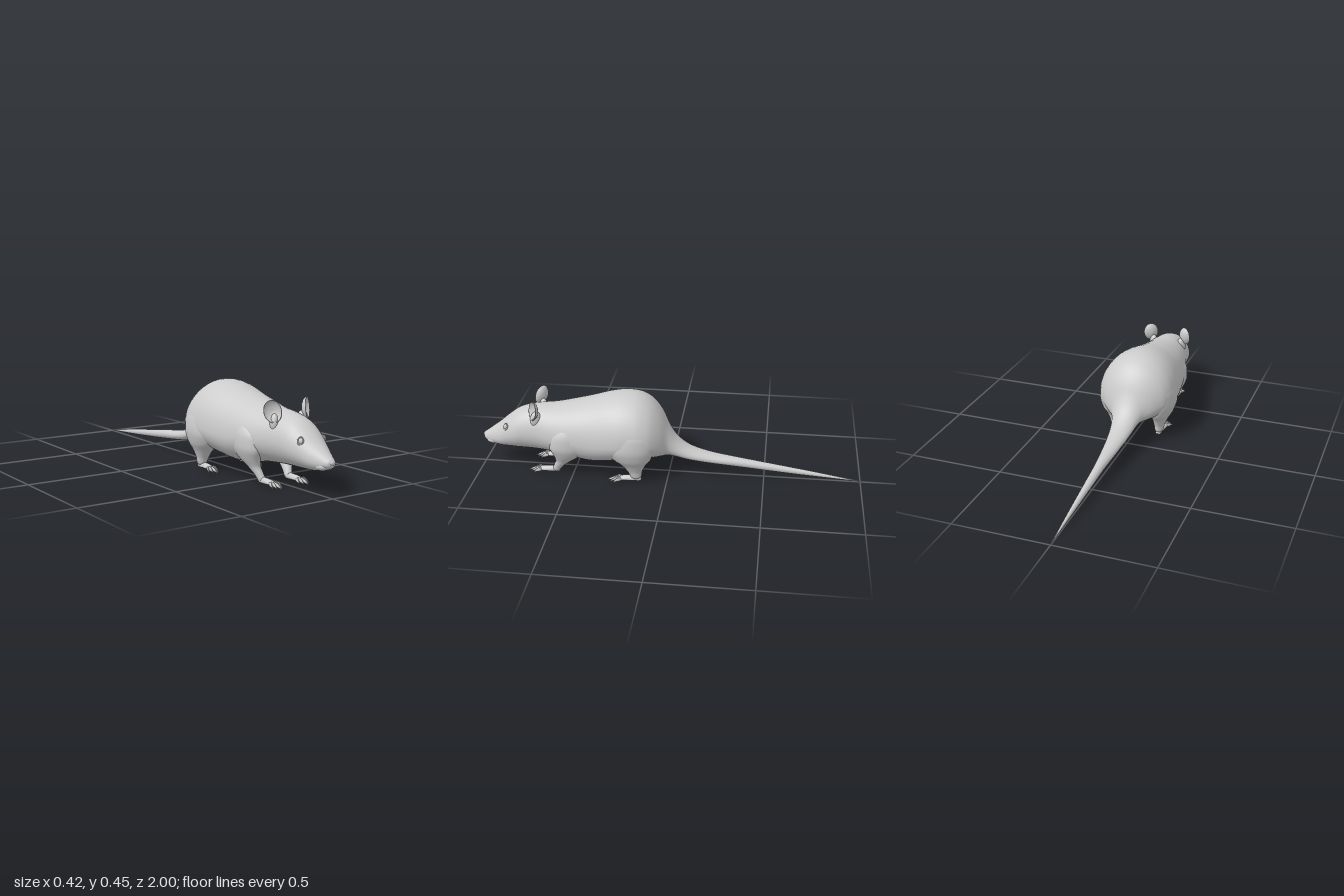
import * as THREE from 'three';

const material = new THREE.MeshStandardMaterial({ color: 0xcccccc, roughness: 0.8 });

// Closed skin through a list of rings; each ring maps an angle to a point.
function loft(rings, sides) {
  const pos = [], index = [];
  rings.forEach((ring, i) => {
    for (let j = 0; j < sides; j++) {
      pos.push(...ring((j / sides) * Math.PI * 2));
      if (i === rings.length - 1) continue;
      const a = i * sides + j, b = i * sides + ((j + 1) % sides);
      index.push(a, b, a + sides, b, b + sides, a + sides);
    }
  });
  const g = new THREE.BufferGeometry();
  g.setAttribute('position', new THREE.Float32BufferAttribute(pos, 3));
  g.setIndex(index);
  g.computeVertexNormals();
  return g;
}

// Smoothly resample rows of six numbers.
function resample(rows, steps) {
  const a = new THREE.CatmullRomCurve3(rows.map((r) => new THREE.Vector3(r[0], r[1], r[2])));
  const b = new THREE.CatmullRomCurve3(rows.map((r) => new THREE.Vector3(r[3], r[4], r[5] ?? 0)));
  const n = (rows.length - 1) * steps;
  return Array.from({ length: n + 1 }, (_, i) => [...a.getPoint(i / n).toArray(), ...b.getPoint(i / n).toArray()]);
}

// Rows run along z: z, bottom, top, half width, height of widest point (0-1), x offset.
const alongZ = (rows, steps, sides) => loft(resample(rows, steps).map(([z, lo, hi, w, f, x]) => (a) => {
  const mid = lo + (hi - lo) * f, s = Math.sin(a);
  return [x + Math.max(w, 0) * Math.cos(a), mid + s * (s > 0 ? hi - mid : mid - lo), z];
}), sides);

// Rows run downwards: x, y, z, x radius, z radius.
const downY = (rows, steps, sides) => loft(resample(rows, steps).map(([x, y, z, rx, rz]) => (a) =>
  [x + rx * Math.cos(a), y, z + rz * Math.sin(a)]), sides);

function ball(x, y, z, rx, ry, rz, turn = 0) {
  return new THREE.SphereGeometry(1, 24, 16).scale(rx, ry, rz).rotateY(turn).translate(x, y, z);
}

function mirrored(geometry) {
  const g = geometry.clone().scale(-1, 1, 1), idx = g.index;
  for (let i = 0; i < idx.count; i += 3) {
    const b = idx.getX(i + 1);
    idx.setX(i + 1, idx.getX(i + 2));
    idx.setX(i + 2, b);
  }
  return g;
}

export function createModel() {
  const model = new THREE.Group();
  const add = (name, geometry) => {
    const mesh = new THREE.Mesh(geometry, material);
    mesh.name = name;
    model.add(mesh);
  };
  const addPair = (name, geometry) => {
    add('left' + name, geometry);
    add('right' + name, mirrored(geometry));
  };

  // Tail, trunk and head as one skin
  add('bodyAndTail', alongZ([
    [-1, 0.005, 0.009, 0.001, 0.5],
    [-0.7, 0.026, 0.056, 0.014, 0.5],
    [-0.4, 0.052, 0.1, 0.026, 0.5],
    [-0.2, 0.074, 0.13, 0.045, 0.48],
    [-0.1, 0.09, 0.163, 0.058, 0.45],
    [-0.04, 0.105, 0.21, 0.07, 0.43],
    [0, 0.113, 0.27, 0.088, 0.42],
    [0.04, 0.113, 0.35, 0.138, 0.4],
    [0.09, 0.11, 0.41, 0.183, 0.38],
    [0.15, 0.104, 0.444, 0.202, 0.37],
    [0.22, 0.096, 0.453, 0.205, 0.37],
    [0.3, 0.082, 0.442, 0.197, 0.38],
    [0.4, 0.07, 0.414, 0.18, 0.4],
    [0.5, 0.084, 0.388, 0.164, 0.42],
    [0.6, 0.1, 0.366, 0.141, 0.45],
    [0.68, 0.106, 0.358, 0.119, 0.47],
    [0.75, 0.109, 0.345, 0.108, 0.47],
    [0.8, 0.11, 0.324, 0.102, 0.46],
    [0.85, 0.111, 0.288, 0.088, 0.46],
    [0.9, 0.113, 0.245, 0.069, 0.43],
    [0.95, 0.122, 0.207, 0.046, 0.42],
    [0.98, 0.134, 0.185, 0.03, 0.45],
    [0.992, 0.142, 0.176, 0.018, 0.5],
    [0.996, 0.157, 0.159, 0.001, 0.5],
  ], 4, 48));

  // Nose pad and cheeks of the muzzle
  add('nose', ball(0, 0.163, 0.984, 0.017, 0.013, 0.016));
  addPair('MuzzleCheek', ball(0.02, 0.144, 0.945, 0.026, 0.021, 0.036, -0.35));

  // Almond eyes with a raised lid
  addPair('Eye', ball(0.066, 0.246, 0.853, 0.01, 0.016, 0.015, 0.2));
  addPair('Eyelid', new THREE.TorusGeometry(0.015, 0.0028, 8, 28)
    .scale(0.9, 1.15, 1).rotateX(-0.3).rotateY(0.95).translate(0.069, 0.247, 0.855));

  // Cupped ears
  const cup = [[0, -0.016], [0.022, -0.013], [0.04, -0.004], [0.048, 0.008], [0.049, 0.012],
    [0.046, 0.013], [0.043, 0.008], [0.034, 0], [0.018, -0.006], [0, -0.009]];
  addPair('Ear', new THREE.LatheGeometry(cup.map(([x, y]) => new THREE.Vector2(x, y)), 32)
    .rotateX(Math.PI / 2).scale(0.86, 1.08, 1).rotateX(-0.12).rotateZ(-0.25).rotateY(0.62)
    .translate(0.096, 0.361, 0.688));
  addPair('EarBase', ball(0.083, 0.305, 0.686, 0.022, 0.046, 0.03, 0.6));

  // Legs with haunch or shoulder
  addPair('HindLeg', downY([
    [0.12, 0.35, 0.17, 0.002, 0.002],
    [0.123, 0.33, 0.172, 0.045, 0.065],
    [0.132, 0.27, 0.18, 0.07, 0.115],
    [0.136, 0.2, 0.19, 0.074, 0.127],
    [0.132, 0.14, 0.182, 0.063, 0.103],
    [0.13, 0.1, 0.172, 0.042, 0.063],
    [0.127, 0.06, 0.165, 0.028, 0.038],
    [0.127, 0.03, 0.16, 0.022, 0.028],
    [0.127, 0.006, 0.16, 0.002, 0.002],
  ], 4, 28));
  addPair('Foreleg', downY([
    [0.1, 0.3, 0.5, 0.002, 0.002],
    [0.105, 0.285, 0.505, 0.036, 0.055],
    [0.115, 0.23, 0.515, 0.05, 0.093],
    [0.116, 0.17, 0.52, 0.049, 0.095],
    [0.106, 0.12, 0.528, 0.04, 0.07],
    [0.094, 0.08, 0.55, 0.027, 0.04],
    [0.085, 0.045, 0.578, 0.021, 0.026],
    [0.08, 0.02, 0.592, 0.018, 0.022],
    [0.08, 0.006, 0.595, 0.002, 0.002],
  ], 4, 28));

  // Feet: a flat sole with five splayed, clawed toes
  const foot = (name, x, heel, tip, splay) => {
    const len = tip - heel, toeStart = heel + len * 0.56;
    addPair(name + 'Foot', alongZ([
      [heel, 0.014, 0.018, 0.001, 0.5, x],
      [heel + len * 0.06, 0.006, 0.034, 0.014, 0.4, x],
      [heel + len * 0.3, 0.006, 0.036, 0.018, 0.4, x],
      [heel + len * 0.58, 0.009, 0.03, 0.021, 0.4, x + splay * 0.4],
      [heel + len * 0.7, 0.014, 0.018, 0.002, 0.5, x + splay * 0.5],
    ], 4, 18));
    for (let i = -2; i <= 2; i++) {
      const end = tip - Math.abs(i) * len * 0.09, step = (end - toeStart) / 4;
      const at = (k) => x + splay * (0.4 + k * 0.15) + i * (0.0075 + k * 0.0016);
      addPair(name + 'Toe' + (i + 3), alongZ([
        [toeStart, 0.012, 0.022, 0.003, 0.5, at(0)],
        [toeStart + step, 0.008, 0.029, 0.0065, 0.5, at(1)],
        [toeStart + step * 2, 0.007, 0.027, 0.006, 0.5, at(2)],
        [toeStart + step * 3, 0.006, 0.019, 0.004, 0.5, at(3)],
        [end, 0.003, 0.005, 0.0005, 0.5, at(4)],
      ], 3, 10));
    }
  };
  foot('Hind', 0.127, 0.13, 0.312, 0.01);
  foot('Front', 0.08, 0.572, 0.742, 0);

  // Rest the claws on the ground
  model.position.y = -0.003;
  return model;
}
